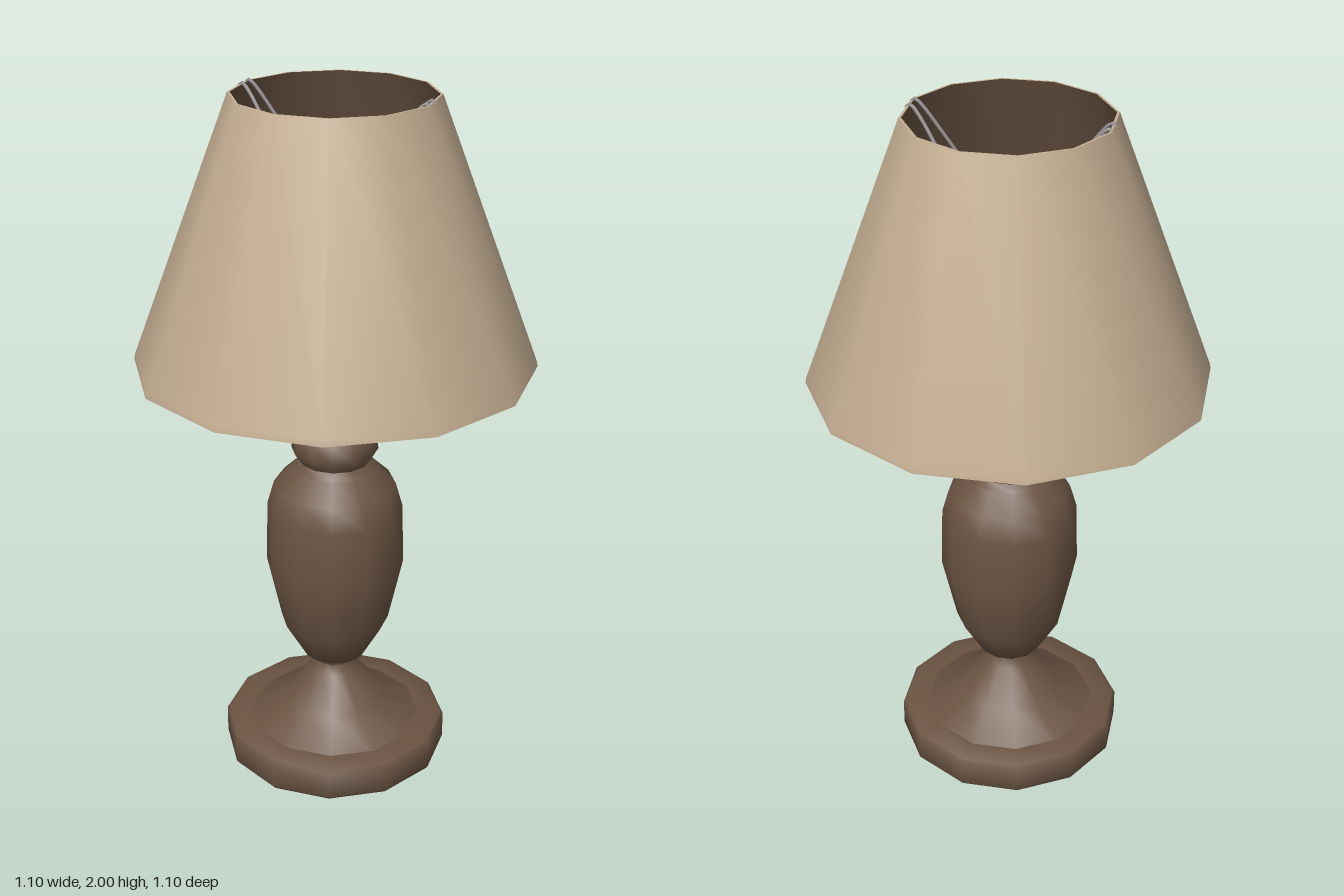
import * as THREE from 'three';
import { toCreasedNormals } from 'three/addons/utils/BufferGeometryUtils.js';

const SIDES = 12;
const TURN = THREE.MathUtils.degToRad(19.4); // shared rotation of all twelve-sided parts

const wood = new THREE.MeshStandardMaterial({ color: 0x6b5443 });
wood.name = 'brown wood';
const fabric = new THREE.MeshStandardMaterial({ color: 0xc4ae92 });
fabric.name = 'tan fabric';
const metal = new THREE.MeshStandardMaterial({ color: 0x999395 });
metal.name = 'grey metal';

// Turned part from [radius, height] pairs, listed bottom to top on the outside
function turned(name, profile, material, crease = 0.95) {
  const points = profile.map(([r, y]) => new THREE.Vector2(r, y));
  const lathe = new THREE.LatheGeometry(points, SIDES, TURN);
  const mesh = new THREE.Mesh(toCreasedNormals(lathe, crease), material);
  mesh.name = name;
  return mesh;
}

// Wire clip: hooks on the rim, dips around the socket and returns to the rim
function wireClip(name) {
  const path = new THREE.CatmullRomCurve3([
    [0.275, 1.985, 0.0], [0.265, 1.994, 0.0], [0.19, 1.9, -0.025],
    [0.125, 1.78, -0.065], [0.09, 1.66, -0.105], [0.108, 1.62, -0.06],
    [0.123, 1.61, 0.0], [0.108, 1.62, 0.06], [0.085, 1.66, 0.105],
    [0.125, 1.78, 0.08], [0.19, 1.9, 0.052], [0.265, 1.994, 0.042],
    [0.275, 1.985, 0.042],
  ].map((p) => new THREE.Vector3(...p)));
  const mesh = new THREE.Mesh(new THREE.TubeGeometry(path, 80, 0.005, 6), metal);
  mesh.name = name;
  return mesh;
}

export function createModel() {
  const lamp = new THREE.Group();
  lamp.name = 'tableLamp';

  // Round foot and flared pedestal
  lamp.add(turned('foot', [
    [0, 0], [0.322, 0], [0.33, 0.01], [0.33, 0.09], [0.322, 0.098], [0.25, 0.1],
  ], wood));
  lamp.add(turned('pedestal', [
    [0.26, 0.095], [0.15, 0.165], [0.072, 0.26], [0.055, 0.285], [0.06, 0.3], [0.09, 0.315],
  ], wood));

  // Vase-shaped body
  lamp.add(turned('body', [
    [0.055, 0.295], [0.092, 0.315], [0.158, 0.43], [0.2, 0.62], [0.195, 0.8],
    [0.175, 0.87], [0.118, 0.925], [0.1, 0.94],
  ], wood));

  // Stepped neck with collar
  lamp.add(turned('neck', [
    [0.118, 0.925], [0.1, 0.945], [0.124, 0.98], [0.117, 1.03], [0.082, 1.06],
    [0.066, 1.1], [0.064, 1.14], [0.073, 1.17], [0.066, 1.2], [0.05, 1.24], [0, 1.245],
  ], wood));

  // Bulb socket on a slim stem, open at the top
  lamp.add(turned('socket', [
    [0.03, 1.24], [0.03, 1.26], [0.014, 1.27], [0.014, 1.29], [0.045, 1.3],
    [0.057, 1.33], [0.06, 1.34], [0.06, 1.51], [0.052, 1.53], [0.032, 1.53],
    [0.028, 1.46], [0, 1.46],
  ], metal));

  // Tapered shade: fabric outside and rims, brown lining inside
  lamp.add(turned('shadeOutside', [
    [0.552, 1.24], [0.56, 1.24], [0.557, 1.255], [0.28, 1.99], [0.273, 1.99],
  ], fabric));
  lamp.add(turned('shadeLining', [[0.273, 1.99], [0.552, 1.24]], wood));

  // Pair of clips holding the shade
  const rightClip = wireClip('leftWireClip');
  const leftClip = wireClip('rightWireClip');
  leftClip.rotation.y = Math.PI;
  lamp.add(rightClip, leftClip);

  return lamp;
}
